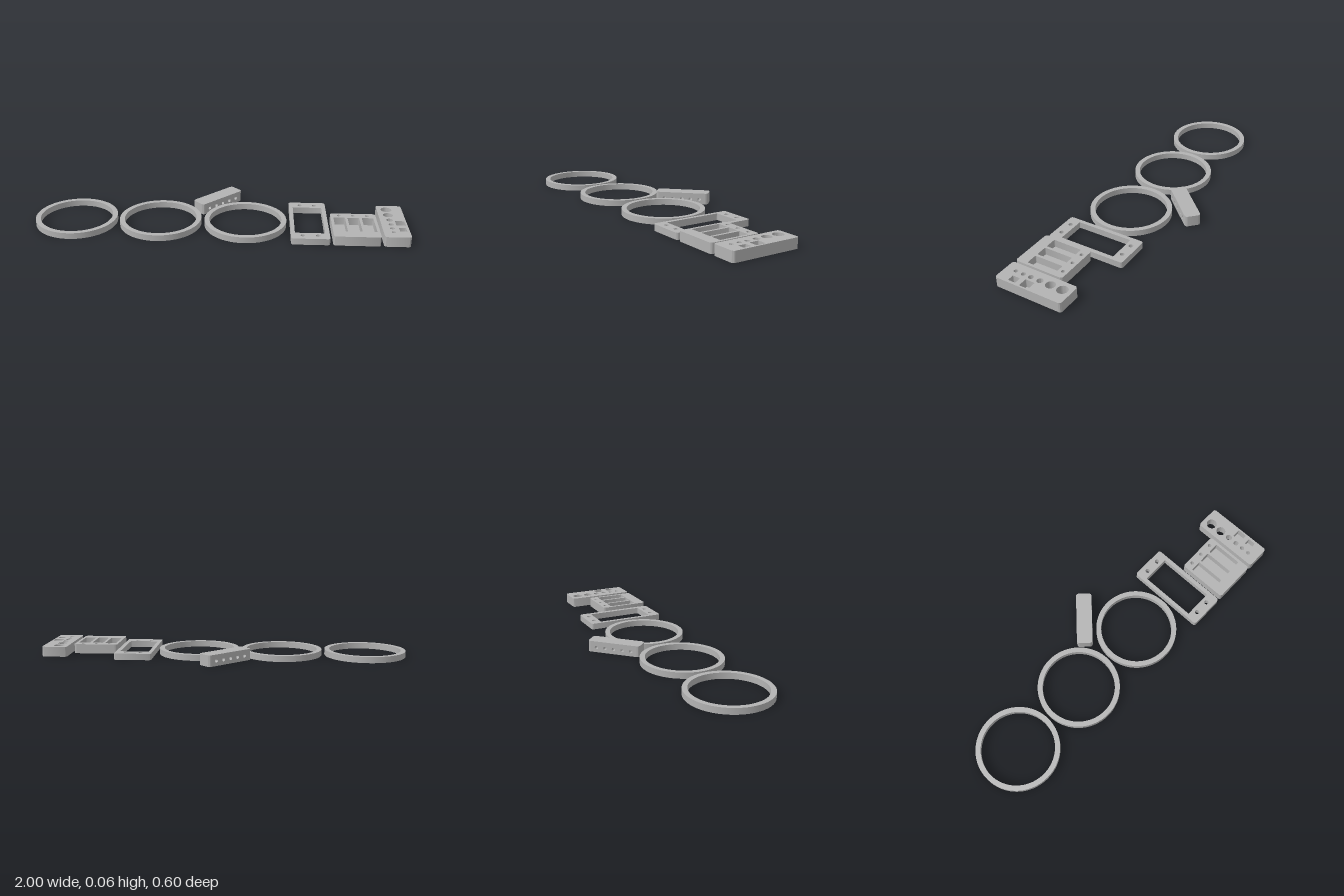
import * as THREE from 'three';
import { toCreasedNormals } from 'three/addons/utils/BufferGeometryUtils.js';

const grey = new THREE.MeshStandardMaterial({ color: 0xb3b3b3 });
grey.name = 'grey';

// Rounded rectangle in plan, z mapped to -y of the shape
function roundedRect(path, x0, x1, z0, z1, r) {
  const b = -z1, t = -z0;
  path.moveTo(x0 + r, b);
  path.lineTo(x1 - r, b);
  path.absarc(x1 - r, b + r, r, -Math.PI / 2, 0);
  path.lineTo(x1, t - r);
  path.absarc(x1 - r, t - r, r, 0, Math.PI / 2);
  path.lineTo(x0 + r, t);
  path.absarc(x0 + r, t - r, r, Math.PI / 2, Math.PI);
  path.lineTo(x0, b + r);
  path.absarc(x0 + r, b + r, r, Math.PI, Math.PI * 1.5);
  return path;
}

const circle = (path, x, z, r) => path.absarc(x, -z, r, 0, Math.PI * 2);

function extrude(shape, depth, segments = 12) {
  const g = new THREE.ExtrudeGeometry(shape, { depth, bevelEnabled: false, curveSegments: segments });
  return toCreasedNormals(g, 0.6);
}

function addMesh(parent, name, geometry) {
  const mesh = new THREE.Mesh(geometry, grey);
  mesh.name = name;
  parent.add(mesh);
  return mesh;
}

// Flat plate with round through holes, cut-outs and blind pockets
function plate(parent, name, [x0, x1, z0, z1], height, { holes = [], cutouts = [], pockets = [], floor = 0.01 }) {
  const group = new THREE.Group();
  group.name = name;
  parent.add(group);
  const shape = roundedRect(new THREE.Shape(), x0, x1, z0, z1, 0.014);
  for (const [x, z, r] of holes) shape.holes.push(circle(new THREE.Path(), x, z, r));
  for (const c of [...cutouts, ...pockets]) shape.holes.push(roundedRect(new THREE.Path(), ...c, 0.004));
  addMesh(group, name + 'Body', extrude(shape, height).rotateX(-Math.PI / 2));
  for (const p of pockets) {
    const plug = roundedRect(new THREE.Shape(), ...p, 0.004);
    addMesh(group, 'pocketFloor', extrude(plug, floor).rotateX(-Math.PI / 2));
  }
}

export function createModel() {
  const model = new THREE.Group();
  model.name = 'partsSet';

  // Three flat rings in a row
  const ring = new THREE.Shape();
  circle(ring, 0, 0, 0.222);
  ring.holes.push(circle(new THREE.Path(), 0, 0, 0.195));
  const ringGeometry = extrude(ring, 0.033, 48).rotateX(-Math.PI / 2);
  for (let i = 0; i < 3; i++) {
    addMesh(model, 'ring', ringGeometry).position.set(-0.778 + i * 0.461, 0, 0.075);
  }

  // Open frame with four screw holes
  const frameHoles = [];
  for (const x of [0.446, 0.526]) for (const z of [-0.112, 0.26]) frameHoles.push([x, z, 0.012]);
  plate(model, 'frame', [0.385, 0.587, -0.148, 0.298], 0.035, {
    holes: frameHoles,
    cutouts: [[0.406, 0.564, -0.083, 0.231]],
  });

  // Block with three slots
  const slots = [0.649, 0.725, 0.801];
  plate(model, 'slottedBlock', [0.603, 0.847, 0.02, 0.298], 0.052, {
    holes: slots.map((x) => [x, 0.046, 0.01]),
    pockets: slots.map((x) => [x - 0.031, x + 0.031, 0.072, 0.236]),
  });

  // Block with graded holes and two square pockets
  plate(model, 'holeBlock', [0.863, 1, -0.085, 0.298], 0.055, {
    holes: [
      [0.915, -0.035, 0.029], [0.915, 0.034, 0.026], [0.915, 0.095, 0.017],
      [0.915, 0.148, 0.014], [0.915, 0.194, 0.012], [0.915, 0.239, 0.011],
    ],
    pockets: [[0.941, 0.991, 0.106, 0.159], [0.949, 0.986, 0.186, 0.229]],
  });

  // Diagonal bar with a row of teardrop holes through its width
  const L = 0.295, W = 0.086, H = 0.061, r = 0.015;
  const bar = new THREE.Group();
  bar.name = 'diagonalBar';
  const half = L / 2 - r;
  const side = new THREE.Shape();
  side.moveTo(-half, 0);
  side.lineTo(half, 0);
  side.lineTo(half, H);
  side.lineTo(-half, H);
  side.closePath();
  for (let i = -2; i <= 2; i++) {
    const x = i * 0.0495, y = 0.0275, hr = 0.0095;
    const drop = new THREE.Path();
    drop.moveTo(x, y + hr * Math.SQRT2);
    drop.absarc(x, y, hr, Math.PI * 0.75, Math.PI * 2.25);
    drop.closePath();
    side.holes.push(drop);
  }
  addMesh(bar, 'barMiddle', extrude(side, W).translate(0, 0, -W / 2));

  // Rounded ends of the bar
  const end = new THREE.Shape();
  end.moveTo(half, -W / 2);
  end.absarc(half, -W / 2 + r, r, -Math.PI / 2, 0);
  end.lineTo(half + r, W / 2 - r);
  end.absarc(half, W / 2 - r, r, 0, Math.PI / 2);
  end.closePath();
  const endGeometry = extrude(end, H).rotateX(-Math.PI / 2);
  for (const turn of [0, Math.PI]) addMesh(bar, 'barEnd', endGeometry).rotation.y = turn;
  bar.position.set(-0.018, 0, -0.169);
  bar.rotation.y = Math.PI / 4;
  model.add(bar);

  return model;
}
